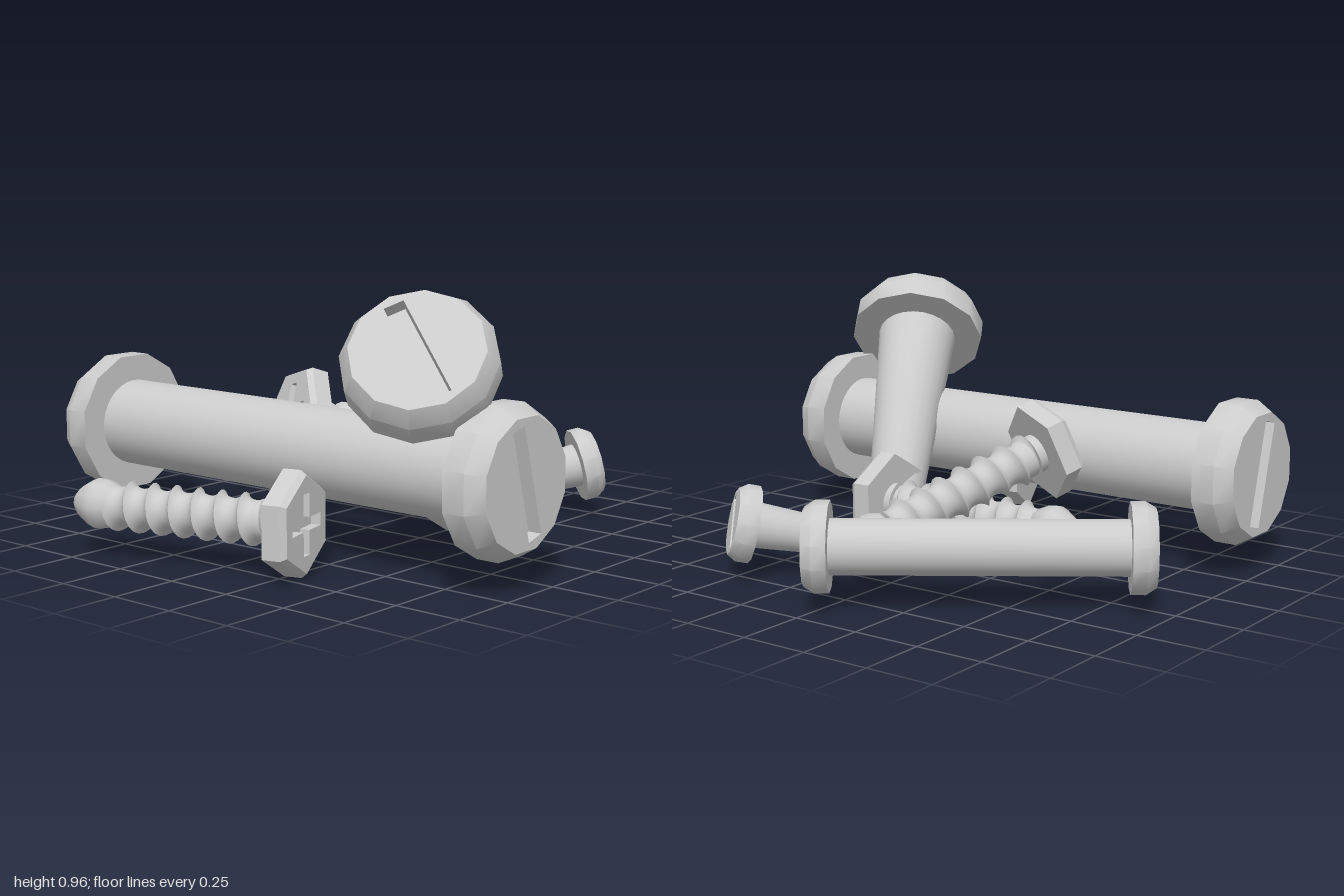
import * as THREE from 'three';
import { mergeGeometries, toCreasedNormals } from 'three/addons/utils/BufferGeometryUtils.js';

const material = new THREE.MeshStandardMaterial({ color: 0xcccccc });
const V2 = (p) => new THREE.Vector2(p[0], p[1]);

function mesh(name, geometry) {
  const m = new THREE.Mesh(geometry, material);
  m.name = name;
  return m;
}

function lathe(points, sides) {
  return new THREE.LatheGeometry(points.map(V2), sides);
}

// Head with its drive face at y = 0: turned side, face with a hole, recess walls and floor
function head(name, sides, profile, hole, depth) {
  const r = profile[profile.length - 1][0];
  const rim = Array.from({ length: sides }, (_, i) => {
    const a = (-i / sides) * Math.PI * 2;
    return new THREE.Vector2(r * Math.sin(a), r * Math.cos(a));
  });
  const face = new THREE.Shape(rim);
  face.holes.push(new THREE.Path(hole.map(V2)));
  const floor = new THREE.ShapeGeometry(new THREE.Shape(hole.map(V2))).translate(0, 0, -depth);
  const walls = [];
  hole.forEach((a, i) => {
    const b = hole[(i + 1) % hole.length];
    walls.push(...a, 0, ...b, 0, ...b, -depth, ...a, 0, ...b, -depth, ...a, -depth);
  });
  const wallGeometry = new THREE.BufferGeometry();
  wallGeometry.setAttribute('position', new THREE.Float32BufferAttribute(walls, 3));
  wallGeometry.rotateX(-Math.PI / 2);
  const parts = [
    lathe(profile, sides),
    new THREE.ShapeGeometry(face).rotateX(-Math.PI / 2),
    floor.rotateX(-Math.PI / 2),
    wallGeometry,
  ].map((g) => {
    const flat = g.index ? g.toNonIndexed() : g;
    flat.deleteAttribute('uv');
    flat.deleteAttribute('normal');
    return flat;
  });
  return mesh(name, toCreasedNormals(mergeGeometries(parts), 0.6));
}

// Round slotted head, slot along z
function slottedHead() {
  const w = 0.035, l = 0.19;
  return head('slottedHead', 12,
    [[0, -0.145], [0.262, -0.145], [0.262, -0.06], [0.225, 0]],
    [[-w, -l], [w, -l], [w, l], [-w, l]], 0.05);
}

// Hexagonal head with a cross recess
function hexHead() {
  const w = 0.022, l = 0.105;
  return head('hexHead', 6,
    [[0, -0.085], [0.183, -0.085], [0.183, -0.02], [0.167, 0]],
    [[-w, -l], [w, -l], [w, -w], [l, -w], [l, w], [w, w],
      [w, l], [-w, l], [-w, w], [-l, w], [-l, -w], [-w, -w]], 0.035);
}

// Straight pin with a slotted head at each end
function doublePin() {
  const g = new THREE.Group();
  const length = 1.967;
  const shaft = new THREE.CylinderGeometry(0.16, 0.16, length - 0.28, 32, 1, true);
  const farHead = slottedHead();
  farHead.position.y = -length;
  farHead.rotation.z = Math.PI;
  g.add(slottedHead(), farHead, mesh('shaft', shaft.translate(0, -length / 2, 0)));
  return g;
}

// Slotted bolt with a tapered shaft
function taperedBolt() {
  const g = new THREE.Group();
  const shaft = lathe([[0, -0.97], [0.092, -0.97], [0.102, -0.955], [0.155, -0.14]], 24);
  g.add(slottedHead(), mesh('taperedShaft', toCreasedNormals(shaft, 0.6)));
  return g;
}

// Hex screw with a helical thread and a bulbous point
function threadedScrew() {
  const g = new THREE.Group();
  const length = 0.9, pitch = 0.088, steps = 8, turns = 8;
  const bottom = 0.14 - length, top = 0.775 - length;
  const profile = [];
  for (let i = 0; i <= turns * steps; i++) {
    const u = (i / steps) % 1;
    const r = 0.09 - 0.025 * Math.pow(Math.sin(Math.PI * u), 0.6);
    profile.push([r, bottom - pitch + (i / steps) * pitch]);
  }
  const thread = lathe(profile, 20);
  const p = thread.attributes.position;
  const rows = profile.length;
  for (let i = 0; i < p.count; i++) {
    // each column climbs along the helix, held between the point and the neck
    const y = p.getY(i) + (Math.floor(i / rows) / 20) * pitch;
    const k = y < bottom + 0.02 ? 0.6 : 1;
    p.setXYZ(i, p.getX(i) * k, Math.min(Math.max(y, bottom), top), p.getZ(i) * k);
  }
  const neck = new THREE.CylinderGeometry(0.072, 0.072, 0.09, 20, 1, true);
  const point = lathe([[0, 0], [0.03, 0.01], [0.058, 0.037], [0.08, 0.075], [0.09, 0.1],
    [0.086, 0.13], [0.066, 0.175], [0.05, 0.19]], 12).translate(0, -length, 0);
  g.add(hexHead(), mesh('thread', toCreasedNormals(thread, 1)),
    mesh('neck', neck.translate(0, 0.78 - length, 0)), mesh('point', point));
  return g;
}

// Puts the drive face at `face`, the shaft toward `tip`, and local z along `up`
function place(name, g, face, tip, up, scale = 1) {
  const f = new THREE.Vector3(...face);
  const y = f.clone().sub(new THREE.Vector3(...tip)).normalize();
  const x = y.clone().cross(new THREE.Vector3(...up)).normalize();
  const z = x.clone().cross(y);
  g.quaternion.setFromRotationMatrix(new THREE.Matrix4().makeBasis(x, y, z));
  g.position.copy(f);
  g.scale.setScalar(scale);
  g.name = name;
  return g;
}

export function createModel() {
  const model = new THREE.Group();
  model.name = 'looseFasteners';
  model.add(
    place('largePin', doublePin(), [0.983, 0.36, 0.38], [-0.983, 0.36, 0.38], [0, 0.37, 0.1]),
    place('smallPin', doublePin(), [0.05, 0.215, -0.9], [-0.91, 0.215, -0.23], [0.06, 0.37, 0.08], 0.595),
    place('largeBolt', taperedBolt(), [0.69, 0.79, 0.575], [0.32, 0.17, -0.07], [0.265, -0.235, 0.1]),
    place('smallBolt', taperedBolt(), [0.5, 0.205, -0.765], [0.165, 0.09, -0.385], [0.069, 0.13, 0.1], 0.53),
    place('frontScrew', threadedScrew(), [0.32, 0.185, 0.69], [-0.545, 0.185, 0.935], [0, 1, 0]),
    place('middleScrew', threadedScrew(), [0.343, 0.187, -0.148], [-0.557, 0.187, -0.148], [0, 1, 0]),
    place('leaningScrew', threadedScrew(), [-0.275, 0.43, 0.125], [0.07, 0.14, -0.64], [0.17, 0.05, 0.055]),
  );
  return model;
}
